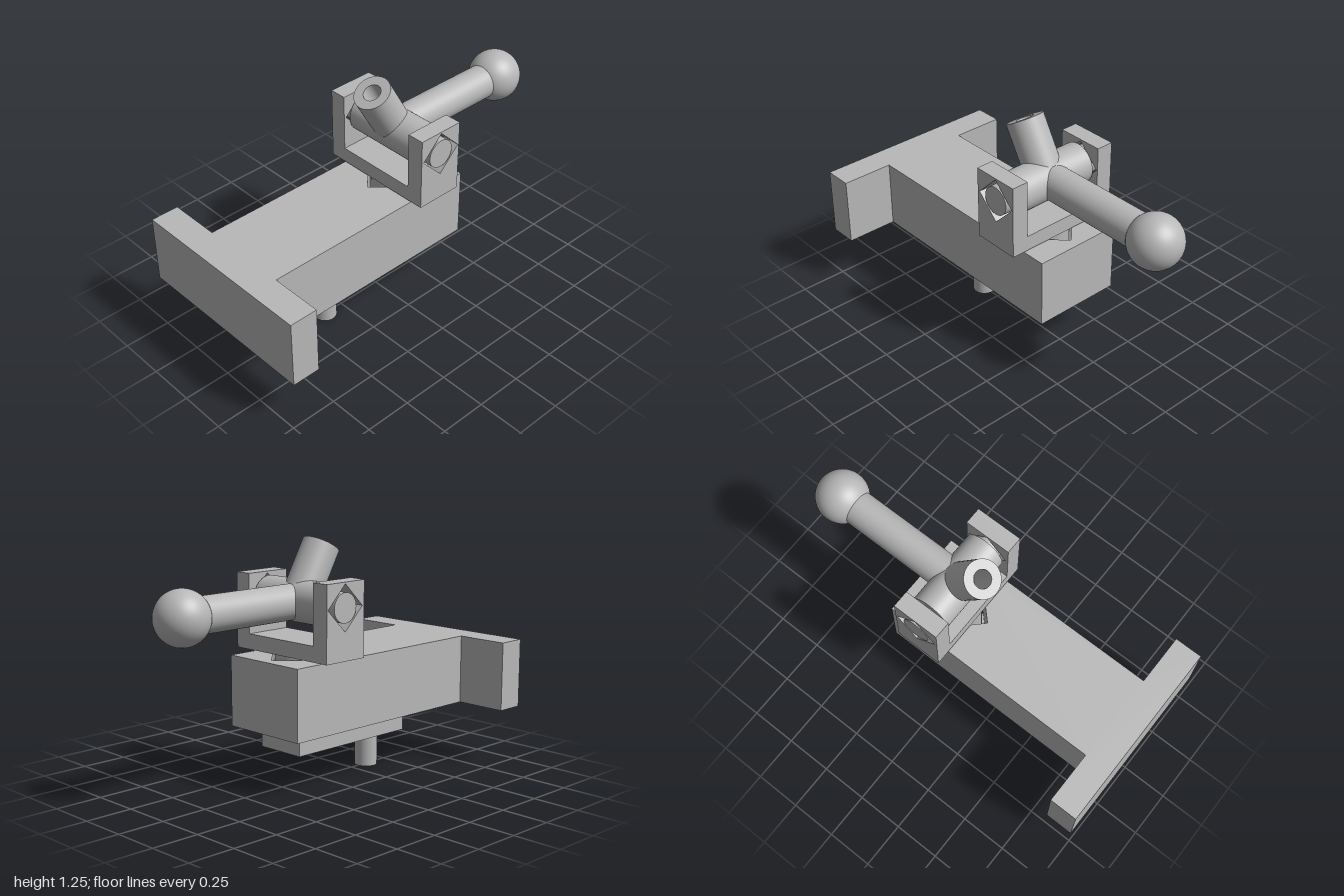
import * as THREE from 'three';

export function createModel() {
  const model = new THREE.Group();
  const grey = new THREE.MeshStandardMaterial({ color: 0xb8b8b8 });
  grey.name = 'plain grey';

  const AXIS_Z = -0.13; // vertical pivot
  const AXIS_Y = 0.935; // horizontal pivot

  const add = (name, geometry, x = 0, y = 0, z = 0) => {
    const mesh = new THREE.Mesh(geometry, grey);
    mesh.name = name;
    mesh.position.set(x, y, z);
    model.add(mesh);
    return mesh;
  };
  const cylinder = (r, length) => new THREE.CylinderGeometry(r, r, length, 48);
  const polygon = (points) => points.map(([x, y]) => new THREE.Vector2(x, y));
  const diamond = (cx, cy, r) =>
    new THREE.Path(polygon([[cx, cy - r], [cx - r, cy], [cx, cy + r], [cx + r, cy]]));
  const extrude = (shape, depth) =>
    new THREE.ExtrudeGeometry(shape, { depth, bevelEnabled: false });

  // T-shaped base with a diamond hole for the vertical pivot
  const tee = new THREE.Shape(polygon([
    [-0.24, -0.37], [0.24, -0.37], [0.24, 0.85], [0.52, 0.85],
    [0.52, 1], [-0.52, 1], [-0.52, 0.85], [-0.24, 0.85],
  ]));
  tee.holes.push(diamond(0, AXIS_Z, 0.187));
  add('base', extrude(tee, 0.365).rotateX(Math.PI / 2), 0, 0.66, 0);

  // Vertical pivot, crank plate and crank pin under the base
  add('verticalPivot', cylinder(0.12, 0.42), 0, 0.477, AXIS_Z);
  add('crankPlate', new THREE.BoxGeometry(0.274, 0.09, 0.76), 0, 0.232, 0.12);
  add('crankPin', cylinder(0.06, 0.2), 0, 0.1, 0.36);

  // U-shaped yoke: floor and two arms with diamond holes
  add('yokeFloor', new THREE.BoxGeometry(0.46, 0.08, 0.255), 0, 0.714, -0.1275);
  const arm = new THREE.Shape(polygon([
    [-0.255, 0.674], [0, 0.674], [0, 1.06], [-0.255, 1.06],
  ]));
  arm.holes.push(diamond(AXIS_Z, AXIS_Y, 0.117));
  const armGeometry = extrude(arm, 0.092).rotateY(-Math.PI / 2);
  add('leftYokeArm', armGeometry, 0.321, 0, 0);
  add('rightYokeArm', armGeometry, -0.229, 0, 0);

  // Horizontal pivot and the sleeve around it
  add('horizontalPivot', cylinder(0.075, 0.642).rotateZ(Math.PI / 2), 0, AXIS_Y, AXIS_Z);
  add('sleeve', cylinder(0.107, 0.426).rotateZ(Math.PI / 2), 0, AXIS_Y, AXIS_Z);

  // Handle with ball knob
  add('handle', cylinder(0.09, 0.68).rotateX(Math.PI / 2), 0, AXIS_Y, AXIS_Z - 0.34);
  add('knob', new THREE.SphereGeometry(0.137, 48, 32), 0, AXIS_Y, -0.863);

  // Hollow socket leaning forward; doubled points keep its rims sharp
  const socket = new THREE.LatheGeometry(polygon([
    [0, 0], [0.096, 0], [0.096, 0], [0.096, 0.307], [0.096, 0.307],
    [0.046, 0.307], [0.046, 0.307], [0.046, 0.09], [0.046, 0.09], [0, 0.09],
  ]), 48);
  add('socket', socket, 0, AXIS_Y, AXIS_Z).rotation.x = Math.PI / 6;

  return model;
}
